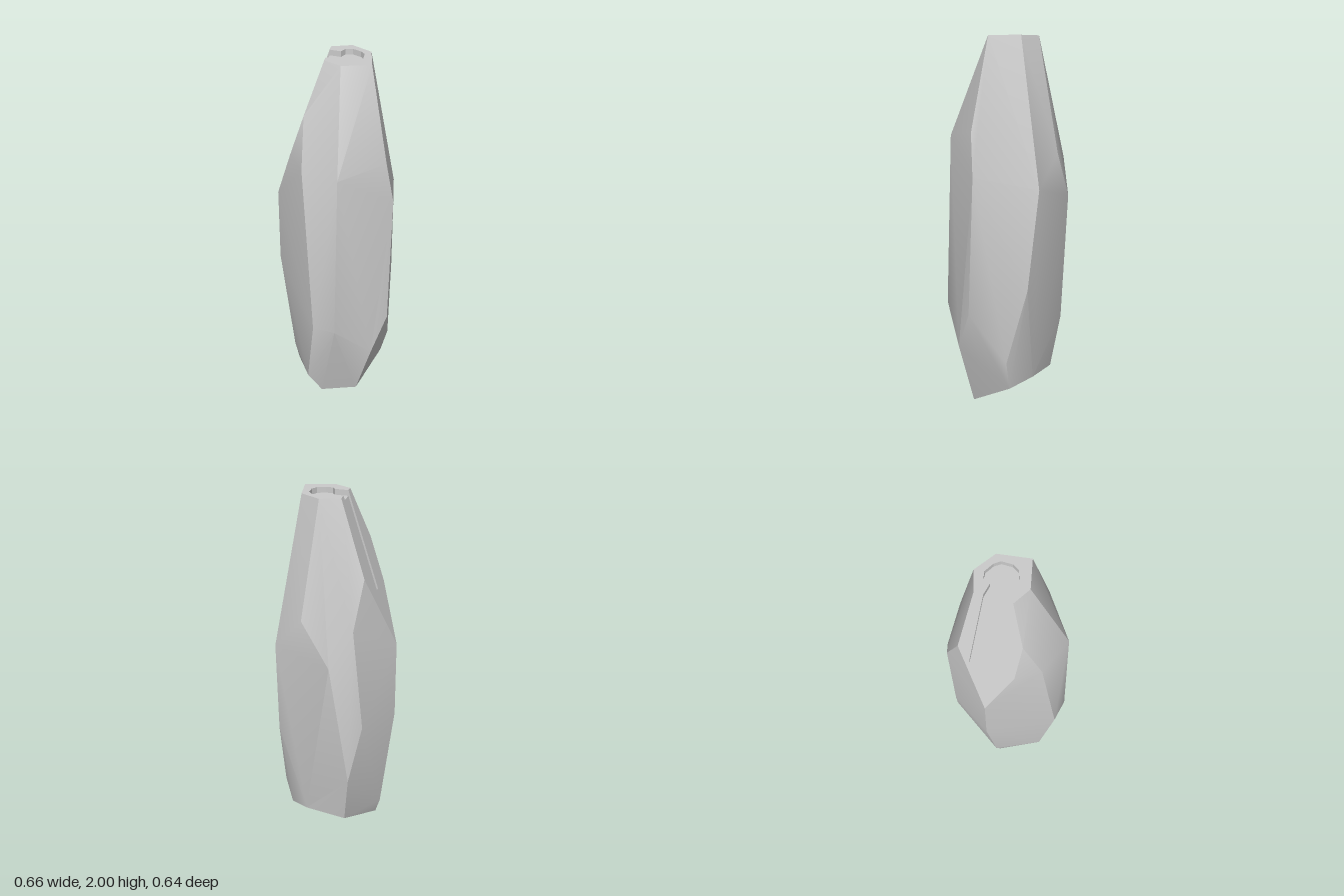
import * as THREE from 'three';
import { mergeGeometries, toCreasedNormals } from 'three/addons/utils/BufferGeometryUtils.js';
import { ConvexGeometry } from 'three/addons/geometries/ConvexGeometry.js';

// The stone has a level top and one sloping facet on the -x side
const TOP = 2, DEPTH = 0.03;
const rimX = (z) => -0.0595 + 0.19 * z;
const slopeY = (x, z) => TOP + (x - rimX(z)) / 0.343;
const surfaceY = (x, z) => Math.min(TOP, slopeY(x, z));

// Flat sheet from an [x, z] outline, laid on the top or slope and lowered by drop
function sheet(outline, drop = 0) {
  const shape = new THREE.Shape(outline.map(([x, z]) => new THREE.Vector2(x, -z)));
  const geo = new THREE.ShapeGeometry(shape).rotateX(-Math.PI / 2).toNonIndexed();
  const p = geo.attributes.position;
  for (let i = 0; i < p.count; i++) p.setY(i, surfaceY(p.getX(i), p.getZ(i)) - drop);
  geo.deleteAttribute('uv');
  geo.computeVertexNormals();
  return geo;
}

// Hull without the faces that the carved sheets replace
function openHull(points) {
  const p = new ConvexGeometry(points).attributes.position;
  const kept = [];
  for (let i = 0; i < p.count; i += 3) {
    const tri = [0, 1, 2].map((k) => new THREE.Vector3().fromBufferAttribute(p, i + k));
    const onTop = tri.every((v) => Math.abs(v.y - TOP) < 1e-3);
    const onSlope = tri.every((v) => Math.abs(v.y - slopeY(v.x, v.z)) < 1e-3);
    if (!onTop && !onSlope) tri.forEach((v) => kept.push(v.x, v.y, v.z));
  }
  const geo = new THREE.BufferGeometry();
  geo.setAttribute('position', new THREE.Float32BufferAttribute(kept, 3));
  geo.computeVertexNormals();
  return geo;
}

export function createModel() {
  const group = new THREE.Group();
  const material = new THREE.MeshStandardMaterial({ color: 0xcccccc });
  const thin = new THREE.MeshStandardMaterial({ color: 0xcccccc, side: THREE.DoubleSide });

  // Outlines of the top and the sloping facet, sharing the rim
  const rimFront = [rimX(0.05), 0.05], rimBack = [rimX(-0.135), -0.135];
  const topEdge = [[0.05, 0.085], [0.19, 0.02], [0.13, -0.14], [0.01, -0.19]];
  const slopeEdge = [[-0.225, -0.16], [-0.33, 0.04], [-0.205, 0.145], [-0.125, 0.145]];

  // Keyhole carving: round basin on top, channel running down the slope
  const channelBack = [rimX(-0.09), -0.09], channelFront = [rimX(0.01), 0.01];
  const channelEnd = [[-0.242, -0.09], [-0.23, 0.01]];
  const basin = [
    [-0.015, -0.09], [-0.005, -0.13], [0.03, -0.142], [0.08, -0.125], [0.108, -0.1],
    [0.12, -0.045], [0.108, -0.008], [0.07, 0.016], [0.032, 0.02], [0.012, 0],
  ];

  // Edge columns of the stone, each from top to bottom
  const columns = {
    front: [[0.11, 1.47, 0.285], [0.105, 0.54, 0.316]],
    frontRight: [[-0.1, 1.47, 0.245], [-0.02, 0.54, 0.318], [-0.08, 0.14, 0.26], [-0.02, 0, 0.2]],
    left: [[0.295, 1.5, 0.07], [0.33, 1.27, 0.045], [0.325, 0.54, 0.075], [0.265, 0.34, 0.165], [0.165, 0.015, 0.125]],
    backLeft: [[0.225, 1.21, -0.285], [0.245, 0.68, -0.23], [0.27, 0.28, -0.12], [0.23, 0.13, -0.12]],
    back: [[0.055, 1.39, -0.318], [-0.1, 1.15, -0.32], [0.1, 0.17, -0.2]],
    backRight: [[-0.205, 1.35, -0.25], [-0.243, 0.78, -0.207], [-0.18, 0.45, -0.25], [-0.14, 0.17, -0.205]],
    right: [[-0.33, 0.77, 0.04], [-0.25, 0.17, 0.05], [-0.22, 0.08, 0.06]],
  };
  const points = Object.values(columns).flat().map((p) => new THREE.Vector3(...p));
  [...topEdge, rimFront, rimBack].forEach(([x, z]) => points.push(new THREE.Vector3(x, TOP, z)));
  slopeEdge.forEach(([x, z]) => points.push(new THREE.Vector3(x, slopeY(x, z), z)));

  // Stone body with the carved outline left open
  const body = mergeGeometries([
    openHull(points),
    sheet([rimFront, ...topEdge, rimBack, channelBack, ...basin, channelFront]),
    sheet([rimFront, channelFront, channelEnd[1], channelEnd[0], channelBack, rimBack, ...slopeEdge]),
  ]);
  const stone = new THREE.Mesh(toCreasedNormals(body, 0.45), material);
  stone.name = 'stoneBody';
  group.add(stone);

  // Sunken floor of basin and channel
  const floor = new THREE.Mesh(mergeGeometries([
    sheet([channelBack, ...basin, channelFront], DEPTH),
    sheet([...channelEnd, channelFront, channelBack], DEPTH),
  ]), thin);
  floor.name = 'carvedFloor';
  group.add(floor);

  // Side walls around the carving
  const contour = [channelBack, ...basin, channelFront, channelEnd[1], channelEnd[0]];
  const wall = [];
  contour.forEach(([x0, z0], i) => {
    const [x1, z1] = contour[(i + 1) % contour.length];
    const y0 = surfaceY(x0, z0), y1 = surfaceY(x1, z1);
    wall.push(x0, y0, z0, x0, y0 - DEPTH, z0, x1, y1, z1);
    wall.push(x1, y1, z1, x0, y0 - DEPTH, z0, x1, y1 - DEPTH, z1);
  });
  const wallGeo = new THREE.BufferGeometry();
  wallGeo.setAttribute('position', new THREE.Float32BufferAttribute(wall, 3));
  wallGeo.computeVertexNormals();
  const walls = new THREE.Mesh(wallGeo, thin);
  walls.name = 'carvedWalls';
  group.add(walls);

  return group;
}
